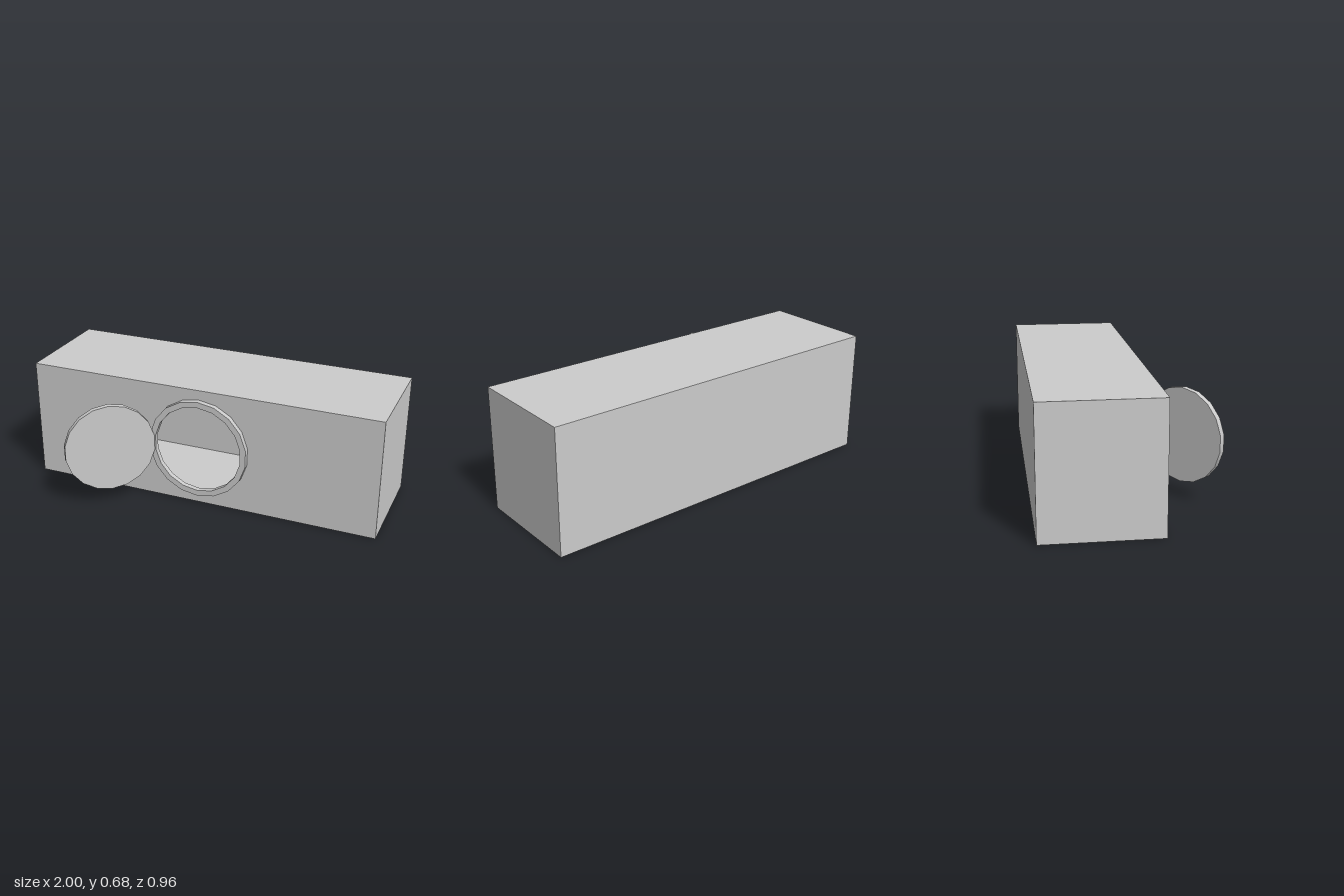
import * as THREE from 'three';
import { toCreasedNormals } from 'three/addons/utils/BufferGeometryUtils.js';

const W = 2, H = 0.675, BACK = -0.48, FRONT = 0.13;
const MID = H / 2, HOLE = 0.25, RIM = 0.283, THICK = 0.03, SIDES = 18;

// 18-sided outline with a corner at the top
function circle(r) {
  const pts = [];
  for (let i = 0; i < SIDES; i++) {
    const a = Math.PI / 2 + (i / SIDES) * Math.PI * 2;
    pts.push(new THREE.Vector2(r * Math.cos(a), r * Math.sin(a)));
  }
  return pts;
}

// round plate centred in z, smooth around its edge
function plate(r, hole) {
  const shape = new THREE.Shape(circle(r));
  if (hole) shape.holes.push(new THREE.Path(circle(hole)));
  const g = new THREE.ExtrudeGeometry(shape, { depth: THICK, bevelEnabled: false });
  g.translate(0, 0, -THICK / 2);
  return toCreasedNormals(g, 0.6);
}

export function createModel() {
  const model = new THREE.Group();
  const solid = new THREE.MeshStandardMaterial({ color: 0xcccccc });
  const thin = new THREE.MeshStandardMaterial({ color: 0xcccccc, side: THREE.DoubleSide });

  function add(name, geometry, material, x, y, z) {
    const mesh = new THREE.Mesh(geometry, material);
    mesh.name = name;
    mesh.position.set(x, y, z);
    model.add(mesh);
    return mesh;
  }

  // hollow body: a box without its +z face
  const box = new THREE.BoxGeometry(W, H, FRONT - BACK);
  const index = Array.from(box.index.array);
  index.splice(24, 6);
  box.setIndex(index);
  box.clearGroups();
  add('body', box, thin, 0, MID, (FRONT + BACK) / 2);

  // front panel with the round opening
  const panel = new THREE.Shape();
  panel.moveTo(-W / 2, -MID).lineTo(W / 2, -MID).lineTo(W / 2, MID).lineTo(-W / 2, MID);
  panel.closePath();
  panel.holes.push(new THREE.Path(circle(HOLE)));
  add('frontPanel', new THREE.ShapeGeometry(panel), thin, 0, MID, FRONT);

  // raised rim around the opening
  add('rim', plate(RIM, HOLE), solid, 0, MID, FRONT + THICK / 2);

  // round door, swung open on the right of the rim
  const door = add('door', plate(HOLE), solid, -0.45, MID, 0.31);
  door.rotation.y = THREE.MathUtils.degToRad(40);

  return model;
}
